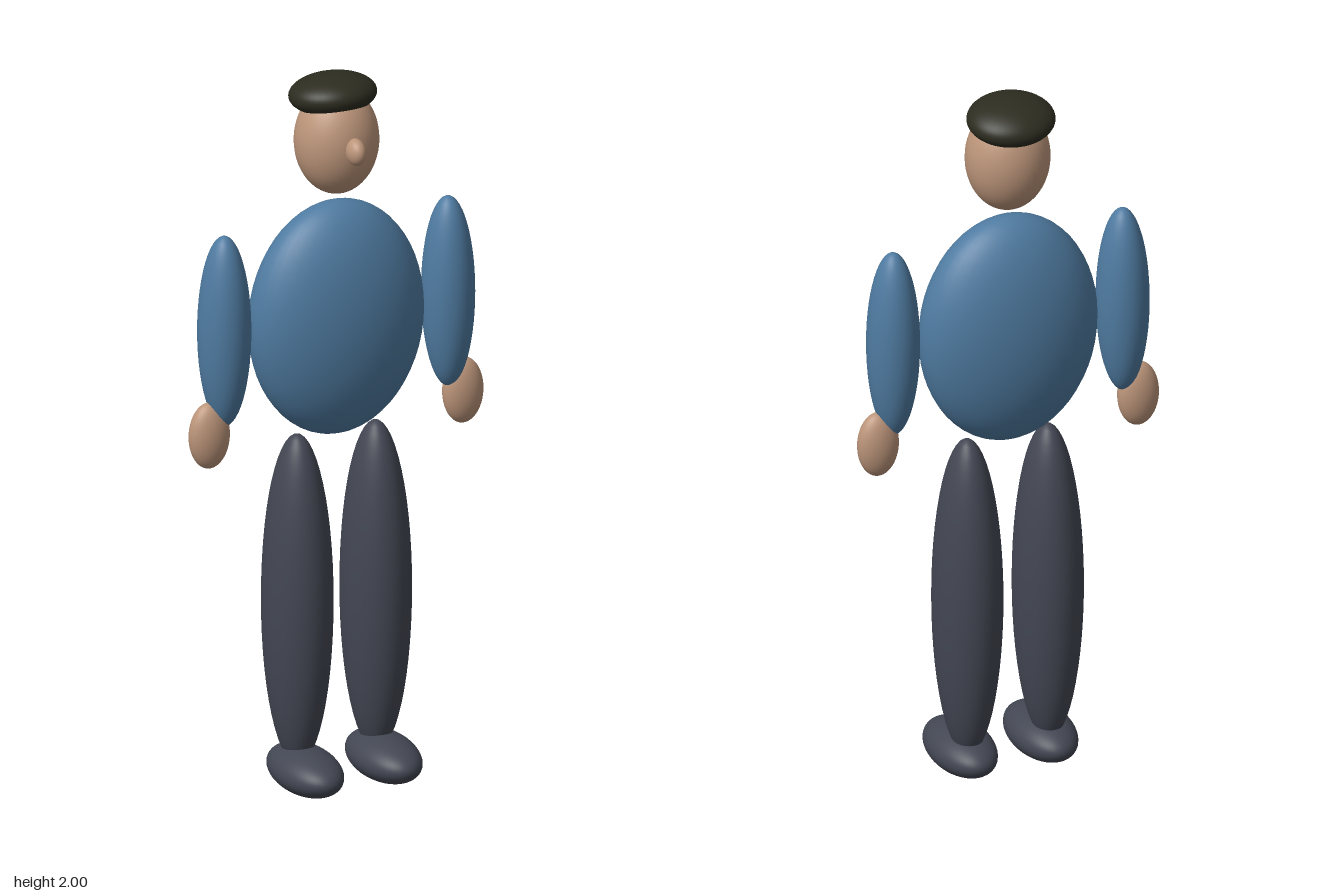
import * as THREE from 'three';

export function createModel() {
  const model = new THREE.Group();
  const material = (name, color) => {
    const m = new THREE.MeshStandardMaterial({ color });
    m.name = name;
    return m;
  };
  const skin = material('skin', 0xbc957a);
  const shirt = material('blue shirt', 0x4f7ba1);
  const trousers = material('dark grey trousers', 0x434753);
  const felt = material('dark olive hat', 0x2c2c20);

  // Every part is a smooth ellipsoid: centre and three radii
  const sphere = new THREE.SphereGeometry(1, 40, 28);
  function ellipsoid(name, mat, centre, radii) {
    const mesh = new THREE.Mesh(sphere, mat);
    mesh.name = name;
    mesh.position.set(...centre);
    mesh.scale.set(...radii);
    model.add(mesh);
    return mesh;
  }

  // Body and head
  ellipsoid('torso', shirt, [0, 1.315, -0.034], [0.252, 0.33, 0.136]);
  ellipsoid('head', skin, [0, 1.82, -0.031], [0.115, 0.15, 0.109]);
  ellipsoid('nose', skin, [0, 1.823, 0.084], [0.026, 0.037, 0.038]);

  // Flat cap, tipped down at the back
  const hat = ellipsoid('hat', felt, [0, 1.943, -0.054], [0.12, 0.056, 0.11]);
  hat.rotation.x = -0.12;

  // Limbs, mirrored
  for (const [side, s] of [['left', 1], ['right', -1]]) {
    ellipsoid(side + 'Arm', shirt, [s * 0.331, 1.33, -0.033], [0.071, 0.27, 0.076]);
    ellipsoid(side + 'Hand', skin, [s * 0.375, 1.04, -0.034], [0.058, 0.093, 0.04]);
    ellipsoid(side + 'Leg', trousers, [s * 0.116, 0.53, -0.031], [0.093, 0.47, 0.11]);
    ellipsoid(side + 'Foot', trousers, [s * 0.116, 0.061, 0.017], [0.087, 0.061, 0.153]);
  }
  return model;
}
